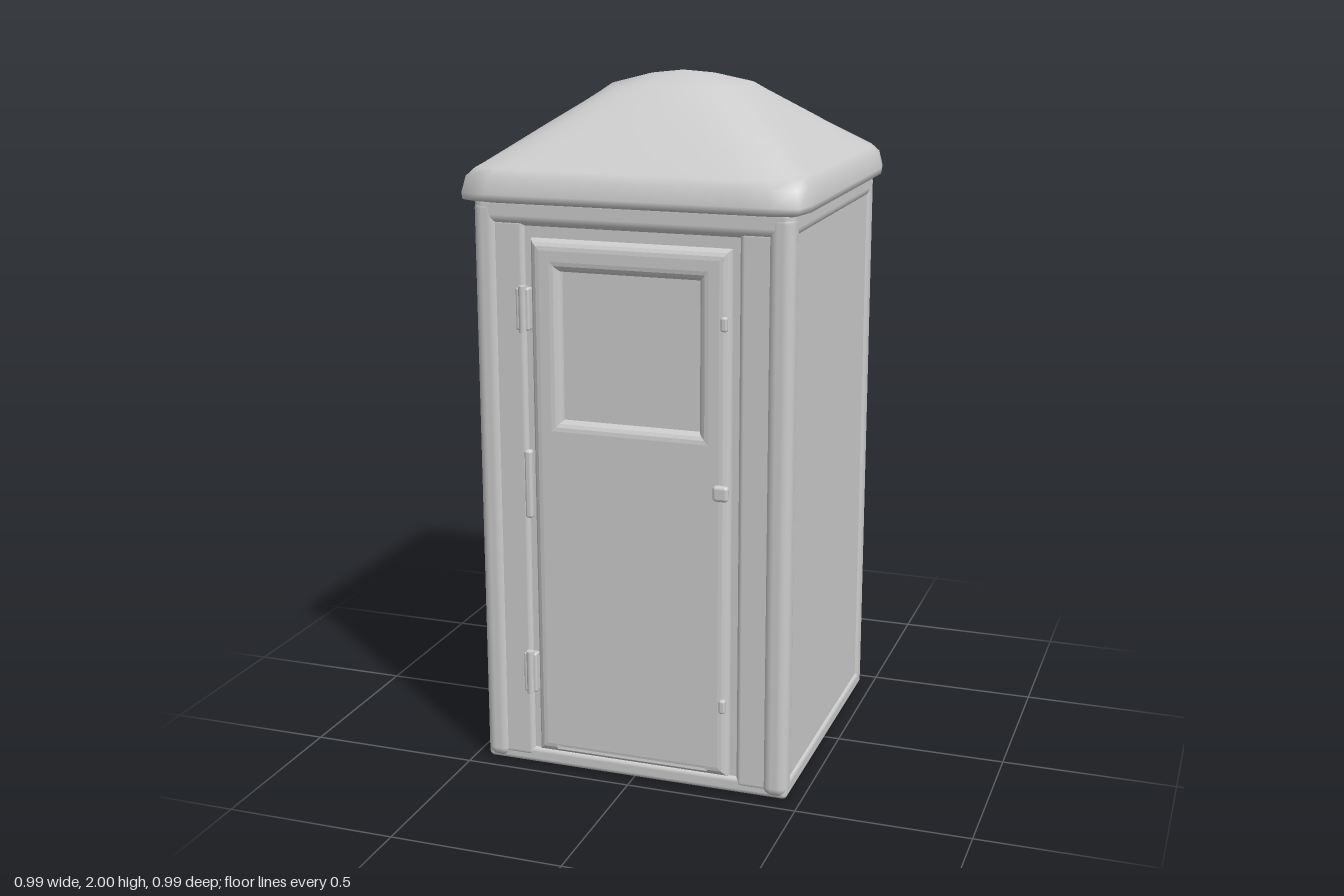
import * as THREE from 'three';
import { RoundedBoxGeometry } from 'three/addons/geometries/RoundedBoxGeometry.js';

const grey = new THREE.MeshStandardMaterial({ color: 0xcccccc });
grey.name = 'plain grey';

function add(parent, name, geometry, x = 0, y = 0, z = 0) {
  const mesh = new THREE.Mesh(geometry, grey);
  mesh.name = name;
  mesh.position.set(x, y, z);
  parent.add(mesh);
  return mesh;
}

const block = (w, h, d, r = 0.01) => new RoundedBoxGeometry(w, h, d, 3, r);

function rectangle(PathType, x0, y0, x1, y1) {
  const p = new PathType();
  p.moveTo(x0, y0);
  p.lineTo(x1, y0);
  p.lineTo(x1, y1);
  p.lineTo(x0, y1);
  p.closePath();
  return p;
}

// Hipped roof: superellipse rings that turn from nearly square eaves to a round crown
function roofGeometry() {
  // [half width, height, squareness exponent]
  const rings = [
    [0.0, 1.67, 24], [0.47, 1.665, 24], [0.492, 1.672, 24], [0.494, 1.69, 24], [0.484, 1.735, 24],
    [0.465, 1.757, 22], [0.34, 1.855, 6], [0.2, 1.962, 2.4], [0.1, 1.988, 2], [0.0, 2.0, 2],
  ];
  const n = 64;
  const pos = [], index = [];
  for (const [h, y, e] of rings) {
    for (let i = 0; i < n; i++) {
      const a = (i / n) * Math.PI * 2;
      const c = Math.cos(a), s = Math.sin(a);
      const r = h / Math.pow(Math.abs(c) ** e + Math.abs(s) ** e, 1 / e);
      pos.push(r * c, y, r * s);
    }
  }
  for (let j = 0; j < rings.length - 1; j++) {
    for (let i = 0; i < n; i++) {
      const a = j * n + i, b = j * n + (i + 1) % n;
      index.push(a, a + n, b, b, a + n, b + n);
    }
  }
  const g = new THREE.BufferGeometry();
  g.setAttribute('position', new THREE.Float32BufferAttribute(pos, 3));
  g.setIndex(index);
  g.computeVertexNormals();
  return g;
}

// Door slab with two openings whose edges slope softly inward
function doorGeometry() {
  const b = 0.03;
  const shape = rectangle(THREE.Shape, -0.29 + b, 0.05 + b, 0.29 - b, 1.57 - b);
  shape.holes.push(rectangle(THREE.Path, -0.2 - b, 1.06 - b, 0.2 + b, 1.48 + b));
  shape.holes.push(rectangle(THREE.Path, -0.2 - b, 0.08 - b / 2, 0.2 + b, 0.93 + b));
  return new THREE.ExtrudeGeometry(shape, {
    depth: 0.01, bevelEnabled: true, bevelThickness: 0.025, bevelSize: b, bevelSegments: 4,
  });
}

// One door face, built facing +z; m flips it left to right
function doorFace(name, m) {
  const face = new THREE.Group();
  face.name = name;
  add(face, 'door', doorGeometry(), 0, 0, 0.433);
  add(face, 'windowPanel', block(0.44, 0.46, 0.02, 0.005), 0, 1.27, 0.432);
  add(face, 'lowerPanel', block(0.44, 0.9, 0.02, 0.005), 0, 0.51, 0.432);

  // Hinges: a plate and a barrel
  for (const y of [0.3, 1.375]) {
    add(face, 'hingePlate', block(0.04, 0.12, 0.03, 0.006), -0.305 * m, y, 0.468);
    add(face, 'hingeBarrel', new THREE.CylinderGeometry(0.012, 0.012, 0.13, 10), -0.305 * m, y, 0.478);
  }
  add(face, 'middleHinge', block(0.022, 0.2, 0.025, 0.008), -0.3 * m, 0.87, 0.468);

  // Handle and small catches on the opening side
  const stem = add(face, 'knobStem', new THREE.CylinderGeometry(0.012, 0.012, 0.03, 10), 0.27 * m, 0.9, 0.468);
  stem.rotation.x = Math.PI / 2;
  add(face, 'knob', block(0.045, 0.045, 0.022, 0.01), 0.27 * m, 0.9, 0.478);
  for (const y of [0.27, 1.37]) add(face, 'catch', block(0.018, 0.04, 0.02, 0.006), 0.275 * m, y, 0.468);
  return face;
}

export function createModel() {
  const model = new THREE.Group();
  model.name = 'booth';

  // Walls and floor
  add(model, 'walls', block(0.905, 1.68, 0.88, 0.02), 0, 0.845, 0);
  add(model, 'floor', block(0.92, 0.05, 0.9, 0.015), 0, 0.025, 0);
  add(model, 'topBeam', block(0.92, 0.09, 0.92, 0.03), 0, 1.645, 0);

  // Rounded corner posts and jambs beside the doors
  for (const x of [-1, 1]) {
    for (const z of [-1, 1]) {
      add(model, 'cornerPost', block(0.075, 1.67, 0.075, 0.03), x * 0.4235, 0.84, z * 0.4235);
      add(model, 'doorJamb', block(0.1, 1.6, 0.06, 0.015), x * 0.36, 0.82, z * 0.422);
    }
  }

  // The same door on the front and back, hinged on the same side of the booth
  const front = doorFace('frontDoor', 1);
  const back = doorFace('backDoor', -1);
  back.rotation.y = Math.PI;
  model.add(front, back);

  add(model, 'roof', roofGeometry());
  return model;
}
